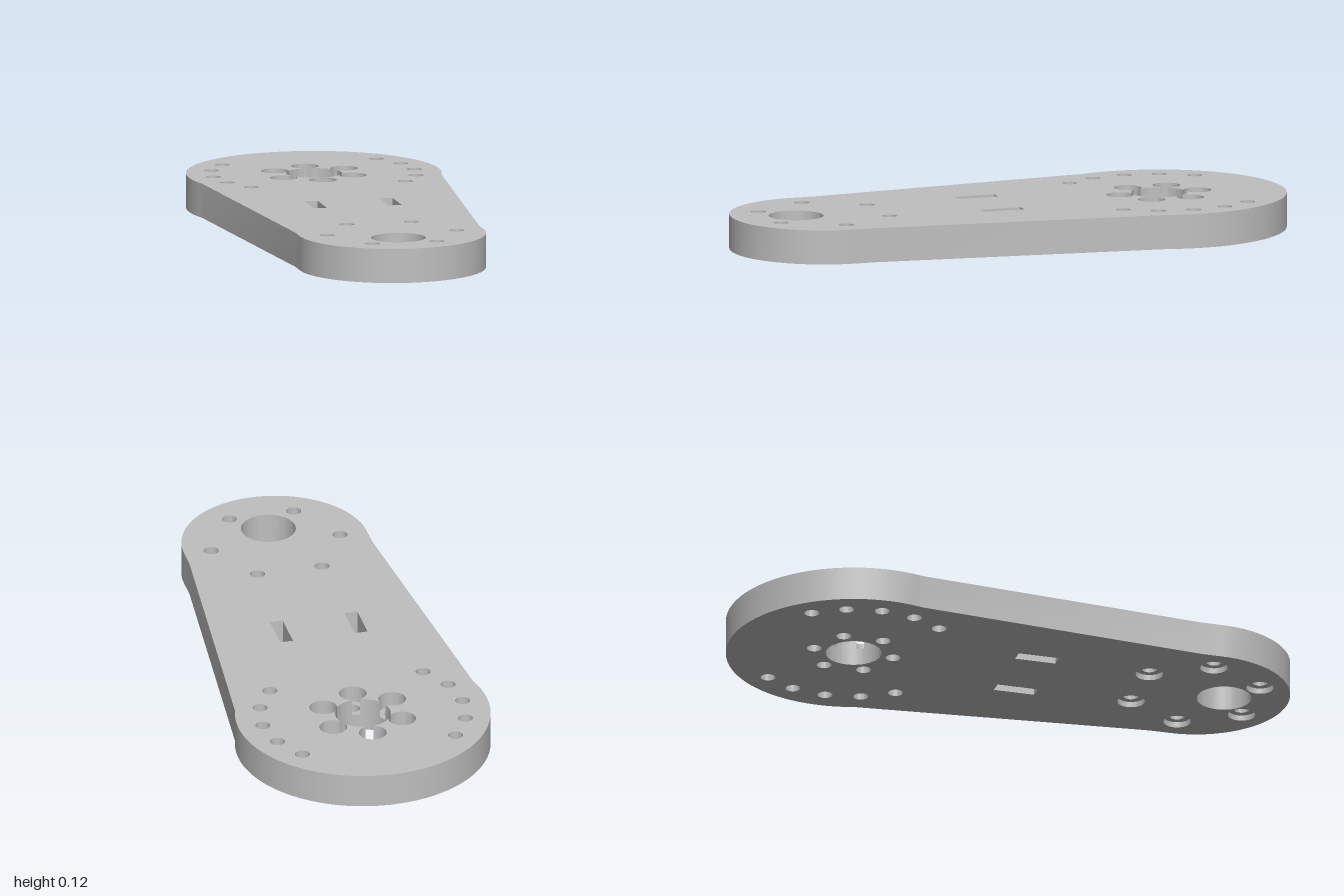
import * as THREE from 'three';
import { toCreasedNormals } from 'three/addons/utils/BufferGeometryUtils.js';

// Plan coordinates: x to the model's left, v = -z.
const TOP = 0.12;          // plate thickness
const HUB_FLOOR = 0.06;    // floor of the recesses sunk from the top
const FOOT_FLOOR = 0.02;   // floor of the recesses sunk from below
const HOLE = 0.026, RECESS = 0.048;

function arc(cx, cv, r, from, to, n) {
  const pts = [];
  for (let i = 0; i <= n; i++) {
    const t = from + (to - from) * i / n;
    pts.push(new THREE.Vector2(cx + r * Math.cos(t), cv + r * Math.sin(t)));
  }
  return pts;
}

function circle(cx, cv, r, n = 32) {
  return arc(cx, cv, r, 0, Math.PI * 2, n).slice(0, n);
}

// Upright wall along a counter-clockwise loop; holes face inward
function wall(loop, y0, y1, isHole) {
  const pts = isHole ? [...loop].reverse() : loop;
  const pos = [];
  pts.forEach((p, i) => {
    const q = pts[(i + 1) % pts.length];
    const a = [p.x, y0, -p.y], b = [q.x, y0, -q.y];
    const c = [q.x, y1, -q.y], d = [p.x, y1, -p.y];
    pos.push(...a, ...b, ...c, ...a, ...c, ...d);
  });
  const g = new THREE.BufferGeometry();
  g.setAttribute('position', new THREE.Float32BufferAttribute(pos, 3));
  return toCreasedNormals(g, 0.4);
}

// Flat face at height y, facing up or down
function face(outer, holes, y, up) {
  const shape = new THREE.Shape(outer);
  shape.holes = holes.map(h => new THREE.Path(h));
  const g = new THREE.ShapeGeometry(shape);
  g.rotateX(-Math.PI / 2).translate(0, y, 0);
  if (!up) {
    const idx = g.index.array;
    for (let i = 0; i < idx.length; i += 3) [idx[i], idx[i + 1]] = [idx[i + 1], idx[i]];
    g.computeVertexNormals();
  }
  return g;
}

export function createModel() {
  const group = new THREE.Group();
  const grey = new THREE.MeshStandardMaterial({ color: 0xbfbfbf });
  grey.name = 'plain grey';
  const add = (name, geometry) => {
    const m = new THREE.Mesh(geometry, grey);
    m.name = name;
    group.add(m);
  };

  // Tapered outline with a large hub end and a small foot end
  const hubV = 0.56, footV = -0.674, footR = 0.326;
  const outline = [
    ...arc(0, hubV, 0.443, -0.286, Math.PI + 0.286, 80),
    new THREE.Vector2(-footR, -0.6),
    ...arc(0, footV, footR, Math.PI, Math.PI * 2, 56),
    new THREE.Vector2(footR, -0.6),
  ];

  // Plain through holes: screw holes beside the hub, two slots, foot bore
  const through = [];
  for (const side of [0, Math.PI]) {
    for (let k = -2; k <= 2; k++) {
      const t = side + k * Math.PI / 9;
      through.push(circle(0.357 * Math.cos(t), hubV + 0.357 * Math.sin(t), HOLE));
    }
  }
  for (const x of [-0.133, 0.133]) {
    through.push([[-1, -0.135], [1, -0.135], [1, 0.01], [-1, 0.01]]
      .map(([s, v]) => new THREE.Vector2(x + s * 0.023, v)));
  }
  through.push(circle(0, -0.775, 0.095, 64));

  // Hub bore with six recesses that just break into it
  const R = 0.097, D = 0.142;
  const a = Math.acos((D * D + R * R - RECESS * RECESS) / (2 * D * R));
  const phi = Math.atan2(R * Math.sin(a), R * Math.cos(a) - D);
  const bore = [], flower = [], hubHoles = [], hubFloors = [];
  for (let k = 0; k < 6; k++) {
    const t = Math.PI / 6 + k * Math.PI / 3;
    const cx = D * Math.cos(t), cv = hubV + D * Math.sin(t);
    const gap = arc(0, hubV, R, t - a, t + a, 4);
    const lobe = arc(cx, cv, RECESS, t - phi, t + phi, 36);
    const rest = arc(0, hubV, R, t + a, t + Math.PI / 3 - a, 10).slice(1, -1);
    bore.push(...gap, ...rest);
    flower.push(...lobe, ...rest);
    const hole = circle(cx, cv, HOLE);
    hubHoles.push(hole);
    hubFloors.push(face([...lobe, ...gap.slice(1, -1).reverse()], [hole], HUB_FLOOR, true));
  }

  // Six foot screw holes, recessed from below
  const footHoles = [], footRecesses = [];
  for (let k = 0; k < 6; k++) {
    const t = k * Math.PI / 3;
    const cx = 0.23 * Math.cos(t), cv = -0.672 + 0.23 * Math.sin(t);
    footHoles.push(circle(cx, cv, HOLE));
    footRecesses.push(circle(cx, cv, RECESS));
  }

  // Plate faces and rim
  add('plateTop', face(outline, [...through, flower, ...footHoles], TOP, true));
  add('plateBottom', face(outline, [...through, bore, ...hubHoles, ...footRecesses], 0, false));
  add('plateRim', wall(outline, 0, TOP, false));

  // Walls and floors of the openings
  through.forEach(h => add('throughHole', wall(h, 0, TOP, true)));
  add('hubBore', wall(bore, 0, HUB_FLOOR, true));
  add('hubRecessWalls', wall(flower, HUB_FLOOR, TOP, true));
  hubFloors.forEach(g => add('hubRecessFloor', g));
  hubHoles.forEach(h => add('hubScrewHole', wall(h, 0, HUB_FLOOR, true)));
  footHoles.forEach((h, i) => {
    add('footScrewHole', wall(h, FOOT_FLOOR, TOP, true));
    add('footRecessWall', wall(footRecesses[i], 0, FOOT_FLOOR, true));
    add('footRecessFloor', face(footRecesses[i], [h], FOOT_FLOOR, false));
  });

  return group;
}
